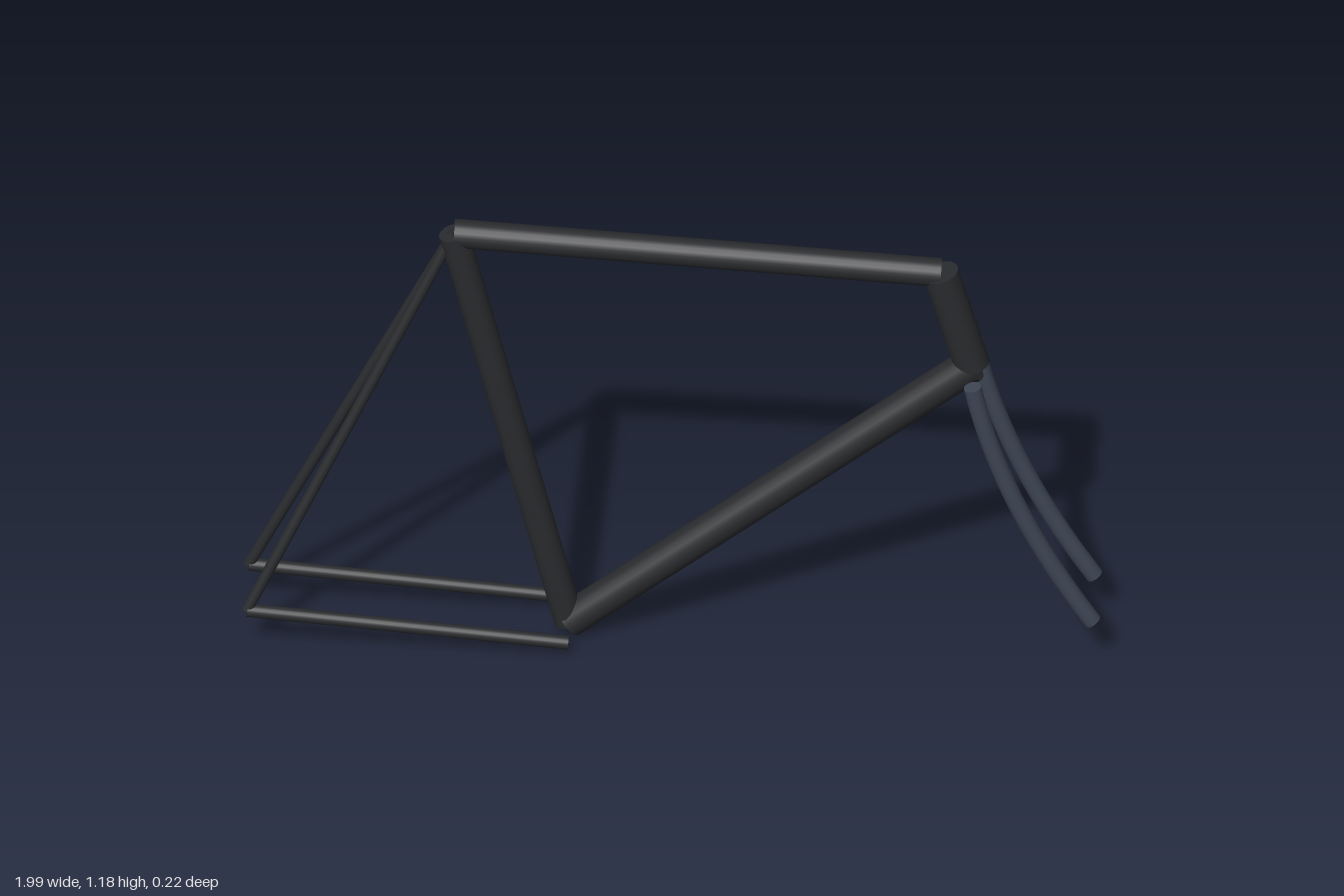
import * as THREE from 'three';

export function createModel() {
  const model = new THREE.Group();
  model.name = 'bicycleFrame';
  const frameMat = new THREE.MeshStandardMaterial({ color: 0x2a2b2e });
  const forkMat = new THREE.MeshStandardMaterial({ color: 0x3d4554 });
  const V = (x, y, z = 0) => new THREE.Vector3(x, y, z);
  const UP = V(0, 1);

  // Straight capped tube between two points
  function tube(name, a, b, r) {
    const dir = b.clone().sub(a);
    const mesh = new THREE.Mesh(new THREE.CylinderGeometry(r, r, dir.length(), 20), frameMat);
    mesh.name = name;
    mesh.position.copy(a).add(b).multiplyScalar(0.5);
    mesh.quaternion.setFromUnitVectors(UP, dir.normalize());
    model.add(mesh);
  }

  // Frame joints
  const seatTop = V(-0.51, 1.146);
  const headTop = V(0.622, 1.053);
  const headBottom = V(0.695, 0.789);
  const bottomBracket = V(-0.242, 0.034);

  // Main triangle
  tube('topTube', seatTop, headTop, 0.034);
  tube('headTube', headTop, headBottom, 0.042);
  tube('downTube', bottomBracket, headBottom, 0.042);
  tube('seatTube', seatTop, bottomBracket, 0.035);

  // Paired stays and fork blades
  for (const [side, s] of [['left', 1], ['right', -1]]) {
    const z = 0.09 * s;
    const axle = V(-0.988, 0.115, z);
    tube(side + 'ChainStay', axle, V(-0.242, 0.034, z), 0.016);
    tube(side + 'SeatStay', axle, seatTop, 0.013);

    // Curved blade with flat end caps
    const blade = new THREE.Group();
    blade.name = side + 'ForkBlade';
    const curve = new THREE.QuadraticBezierCurve3(
      V(0.698, 0.789, z), V(0.765, 0.45, z), V(0.977, 0.119, z));
    const r = 0.021;
    const shaft = new THREE.Mesh(new THREE.TubeGeometry(curve, 24, r, 16), forkMat);
    shaft.name = 'bladeTube';
    blade.add(shaft);
    for (const t of [0, 1]) {
      const cap = new THREE.Mesh(new THREE.CircleGeometry(r, 16), forkMat);
      cap.name = t ? 'bladeTip' : 'bladeTop';
      cap.position.copy(curve.getPoint(t));
      const out = curve.getTangent(t).multiplyScalar(t ? 1 : -1);
      cap.quaternion.setFromUnitVectors(V(0, 0, 1), out);
      blade.add(cap);
    }
    model.add(blade);
  }
  return model;
}
